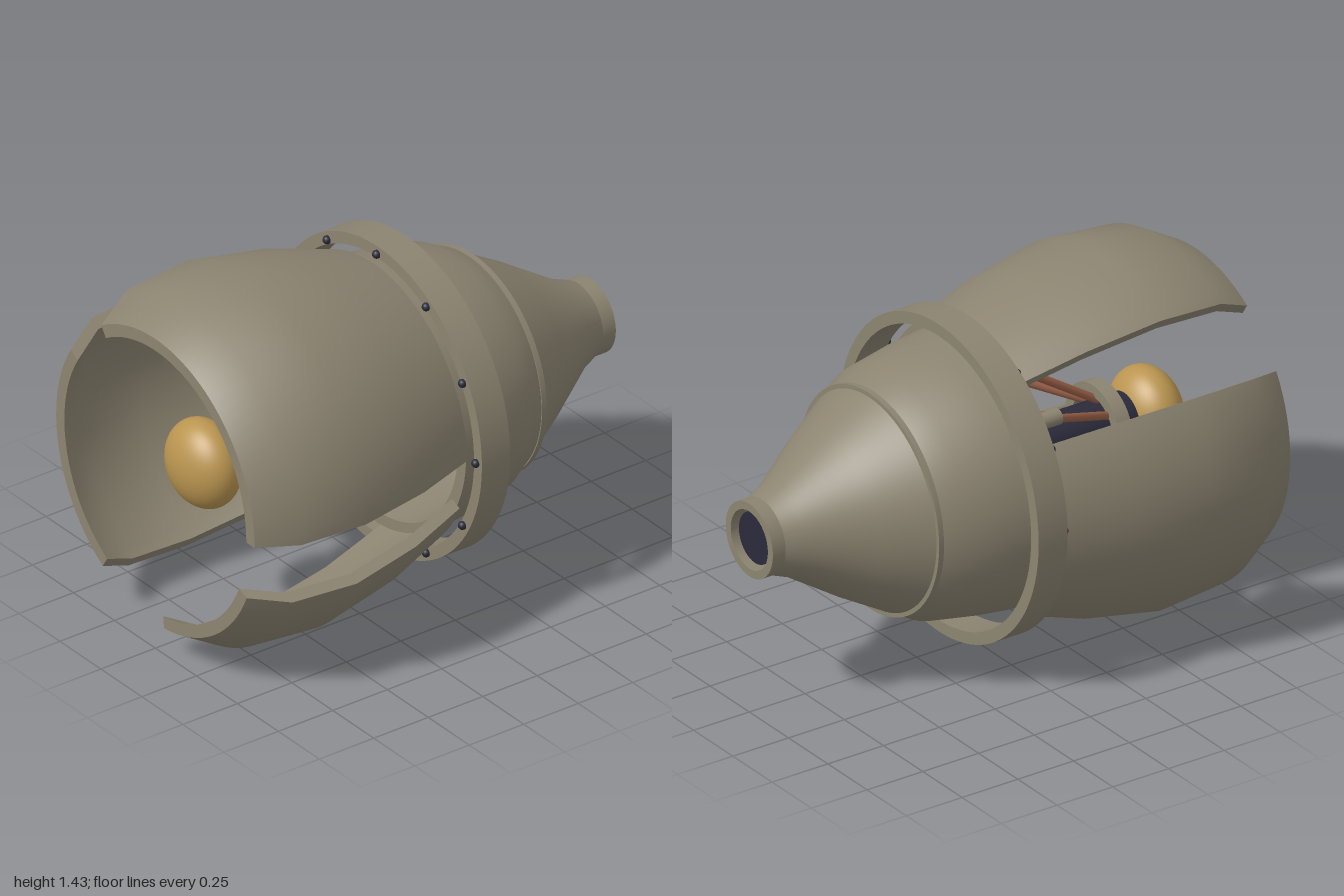
import * as THREE from 'three';
import { toCreasedNormals, mergeGeometries } from 'three/addons/utils/BufferGeometryUtils.js';

const rad = THREE.MathUtils.degToRad;

function material(name, color, side = THREE.FrontSide) {
  const m = new THREE.MeshStandardMaterial({ color, side });
  m.name = name;
  return m;
}

// Revolves a closed [radius, z] profile about the z axis, between two angles
// measured counterclockwise from +x; partial sweeps get flat end faces.
function revolve(profile, from = 0, to = 360) {
  const pts = profile.map(([r, z]) => new THREE.Vector2(r, z));
  const segments = Math.max(12, Math.round((to - from) / 4));
  const lathe = new THREE.LatheGeometry([...pts, pts[0].clone()], segments, rad(from + 90), rad(to - from));
  const parts = [toCreasedNormals(lathe, 0.6)];
  if (to - from < 360) {
    for (const a of [from, to]) {
      parts.push(new THREE.ShapeGeometry(new THREE.Shape(pts)).rotateY(rad(a)).toNonIndexed());
    }
  }
  return mergeGeometries(parts).rotateX(Math.PI / 2);
}

// Wall of constant thickness from an outer profile listed by rising z
function wall(outer, t) {
  return [...outer, ...outer.map(([r, z]) => [r - t, z]).reverse()];
}

const band = (r0, r1, z0, z1) => [[r1, z0], [r1, z1], [r0, z1], [r0, z0]];

export function createModel() {
  const model = new THREE.Group();
  const hull = material('hull grey', 0x8c8471, THREE.DoubleSide);
  const dark = material('dark navy', 0x2a2a3a);
  const copper = material('copper', 0x9c6249);
  const gold = material('gold', 0xba9550);

  const body = new THREE.Group();
  body.name = 'body';
  body.position.y = 0.714;
  model.add(body);

  const add = (name, geometry, mat) => {
    const mesh = new THREE.Mesh(geometry, mat);
    mesh.name = name;
    body.add(mesh);
    return mesh;
  };
  const polar = (r, deg, z) => new THREE.Vector3(r * Math.cos(rad(deg)), r * Math.sin(rad(deg)), z);
  const rod = (name, a, b, radius, mat) => {
    const dir = b.clone().sub(a);
    const mesh = add(name, new THREE.CylinderGeometry(radius, radius, dir.length(), 16), mat);
    mesh.position.copy(a).add(b).multiplyScalar(0.5);
    mesh.quaternion.setFromUnitVectors(new THREE.Vector3(0, 1, 0), dir.normalize());
    return mesh;
  };

  // Three curved shells of unequal width around the front
  const shell = wall([[0.572, 0], [0.658, 0.26], [0.715, 0.57], [0.692, 0.85], [0.605, 1]], 0.05);
  for (const [from, to] of [[0, 123], [148.5, 238], [275, 337]]) {
    add('frontShell', revolve(shell, from, to), hull);
  }

  // Hollow tapering rear hull
  add('rearHull', revolve([
    [0.147, -0.95], [0.182, -0.86], [0.325, -0.64], [0.435, -0.45], [0.49, -0.35], [0.525, -0.15], [0.54, -0.02],
    [0.49, -0.02], [0.44, -0.35], [0.4, -0.45], [0.29, -0.64], [0.15, -0.86], [0.118, -0.95],
  ]), hull);
  add('hullBand', revolve(band(0.412, 0.445, -0.462, -0.44)), hull);
  add('rearCollar', revolve(band(0.118, 0.15, -1, -0.942)), hull);

  // Loose ring with twelve bolts on its front face
  add('outerRing', revolve(band(0.588, 0.636, -0.15, -0.02)), hull);
  for (let i = 0; i < 12; i++) {
    add('ringBolt', new THREE.SphereGeometry(0.017, 12, 8), dark).position.copy(polar(0.605, i * 30, -0.015));
  }

  // Central shaft with its flange and rounded tip
  rod('centralShaft', polar(0, 0, -0.975), polar(0, 0, 0.7), 0.102, dark).geometry =
    new THREE.CylinderGeometry(0.102, 0.102, 1.675, 40);
  add('shaftFlange', revolve(band(0.13, 0.175, 0.54, 0.6)), hull);
  const tip = add('goldTip', new THREE.SphereGeometry(0.175, 40, 28), gold);
  tip.scale.z = 0.7;
  tip.position.z = 0.78;

  // Eight struts splaying back from the flange to round pads
  for (let i = 0; i < 8; i++) {
    const a = i * 45;
    rod('strut', polar(0.11, a, 0.56), polar(0.372, a, 0.16), 0.016, copper);
    rod('strutPad', polar(0.373, a, 0.12), polar(0.373, a, 0.2), 0.032, hull);
  }

  // Six thin spokes inside the hull
  for (let i = 0; i < 6; i++) {
    rod('innerSpoke', polar(0.455, i * 60, -0.2), polar(0.305, i * 60, -0.32), 0.006, dark);
  }
  return model;
}
